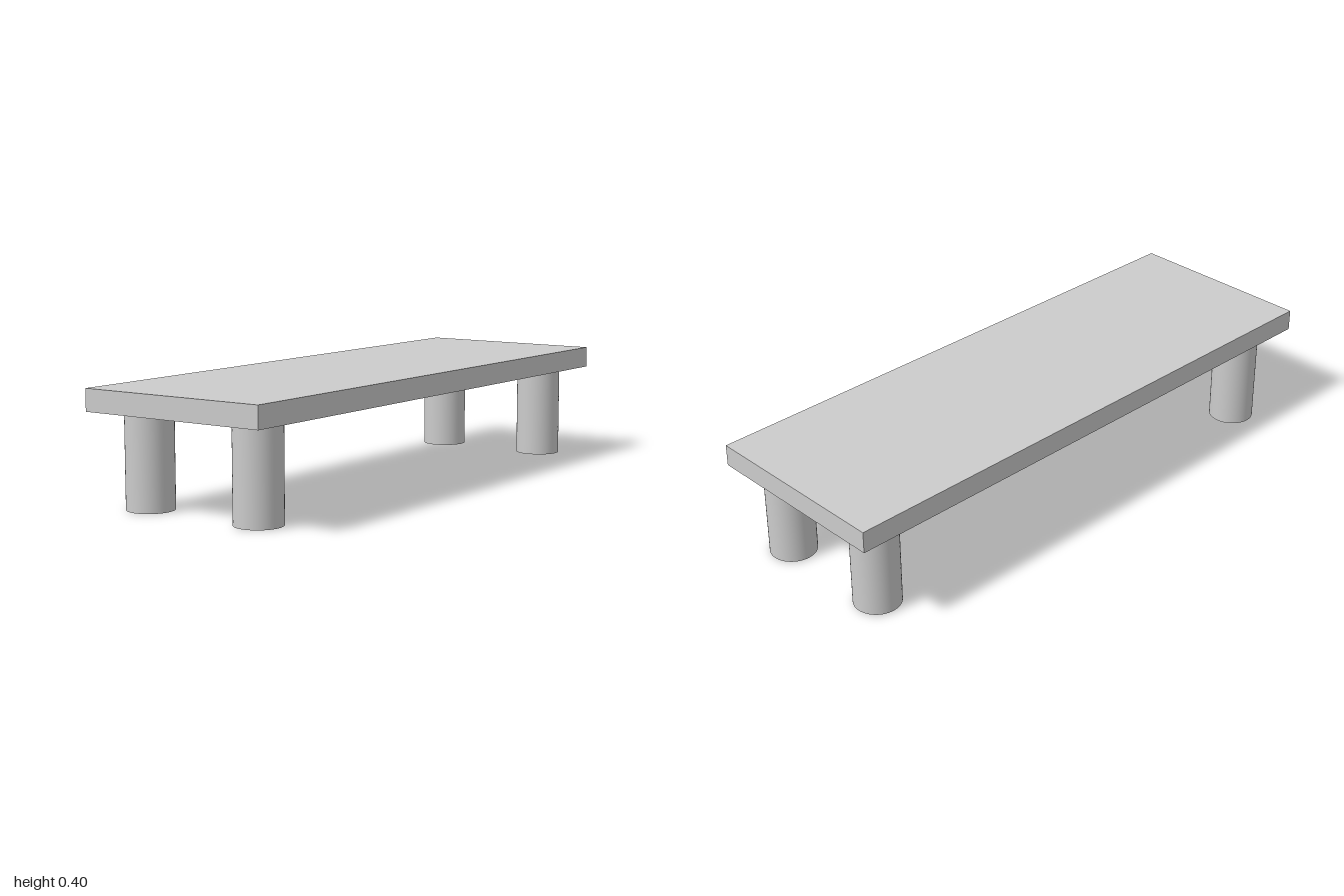
import * as THREE from 'three';

export function createModel() {
  const model = new THREE.Group();
  model.name = 'bench';
  const material = new THREE.MeshStandardMaterial({ color: 0xcccccc });

  // Flat rectangular top
  const top = new THREE.Mesh(new THREE.BoxGeometry(0.674, 0.073, 2), material);
  top.name = 'benchTop';
  top.position.y = 0.3585;
  model.add(top);

  // Four round legs, placed slightly unevenly: name, x, base y, z
  const legHeight = 0.317;
  const legGeometry = new THREE.CylinderGeometry(0.0785, 0.0785, legHeight, 48);
  const legs = [
    ['frontRightLeg', -0.236, 0, 0.823],
    ['frontLeftLeg', 0.198, 0.001, 0.826],
    ['backRightLeg', -0.203, 0.003, -0.853],
    ['backLeftLeg', 0.204, 0.002, -0.867],
  ];
  for (const [name, x, y, z] of legs) {
    const leg = new THREE.Mesh(legGeometry, material);
    leg.name = name;
    leg.position.set(x, y + legHeight / 2, z);
    model.add(leg);
  }

  return model;
}
